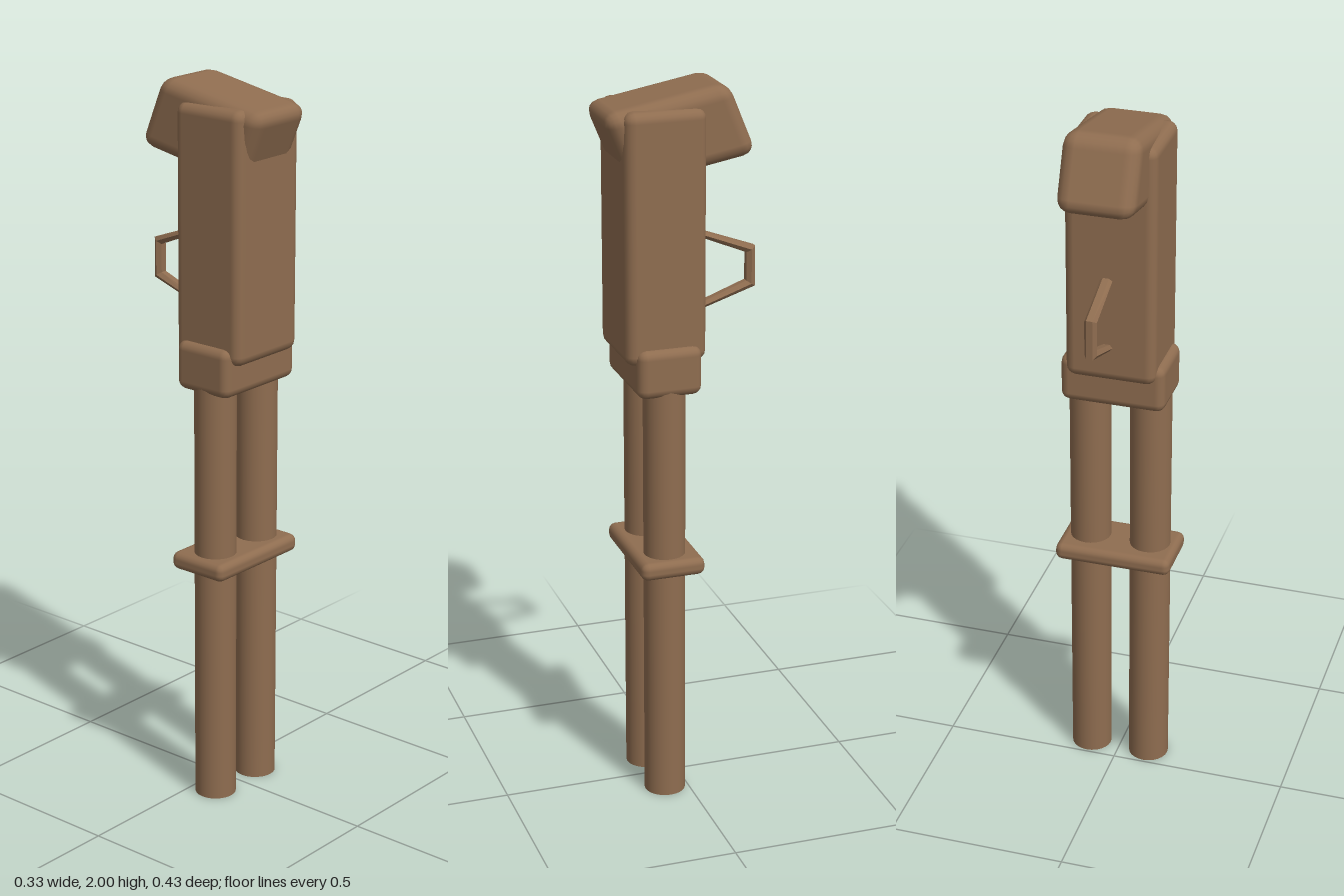
import * as THREE from 'three';
import { RoundedBoxGeometry } from 'three/addons/geometries/RoundedBoxGeometry.js';

const brown = new THREE.MeshStandardMaterial({ color: 0x8f6d50 });
brown.name = 'brown';

function add(group, name, geometry, x = 0, y = 0, z = 0) {
  const mesh = new THREE.Mesh(geometry, brown);
  mesh.name = name;
  mesh.position.set(x, y, z);
  group.add(mesh);
  return mesh;
}

// Hexagonal bar bent along [z, y, tilt of the ring in radians, ring scale]
function bentBar(path, radius) {
  const rows = path.length - 1;
  const geo = new THREE.CylinderGeometry(radius, radius, rows, 6, rows).rotateY(Math.PI / 6);
  const pos = geo.attributes.position;
  for (let i = 0; i < pos.count; i++) {
    const [z, y, tilt, scale] = path[Math.round(rows / 2 - pos.getY(i))];
    const d = pos.getZ(i) * scale;
    pos.setXYZ(i, pos.getX(i), y + d * Math.sin(tilt), z + d * Math.cos(tilt));
  }
  const flat = geo.toNonIndexed();
  flat.computeVertexNormals();
  return flat;
}

export function createModel() {
  const model = new THREE.Group();
  model.name = 'postWithHead';

  // Twin poles and the brace they pass through
  for (const side of [-1, 1]) {
    const name = side > 0 ? 'leftPole' : 'rightPole';
    add(model, name, new THREE.CylinderGeometry(0.057, 0.057, 1.22, 24), side * 0.086, 0.61, 0.064);
  }
  add(model, 'brace', new RoundedBoxGeometry(0.33, 0.05, 0.18, 2, 0.02), 0, 0.695, 0.06);

  // Collar and tall body
  add(model, 'collar', new RoundedBoxGeometry(0.29, 0.135, 0.178, 2, 0.025), 0, 1.25, 0.062);
  add(model, 'body', new RoundedBoxGeometry(0.25, 0.68, 0.222, 2, 0.028), 0, 1.61, 0.065);

  // Leaning head: a rounded box sheared backwards and tipped up at the back
  const head = new RoundedBoxGeometry(0.21, 0.21, 0.35, 2, 0.04);
  const lean = new THREE.Matrix4().makeBasis(
    new THREE.Vector3(1, 0, 0),
    new THREE.Vector3(0, 0.925, 0.38),
    new THREE.Vector3(0, -0.18, 0.983)
  );
  add(model, 'head', head.applyMatrix4(lean), 0, 1.877, 0.017);

  // Bent handle standing off the back
  const handle = bentBar([
    [-0.07, 1.583, -1.2, 0.6],
    [-0.206, 1.53, -0.59, 1],
    [-0.206, 1.435, 0.59, 1],
    [-0.07, 1.387, 1.2, 0.6],
  ], 0.017);
  add(model, 'handle', handle);

  return model;
}
